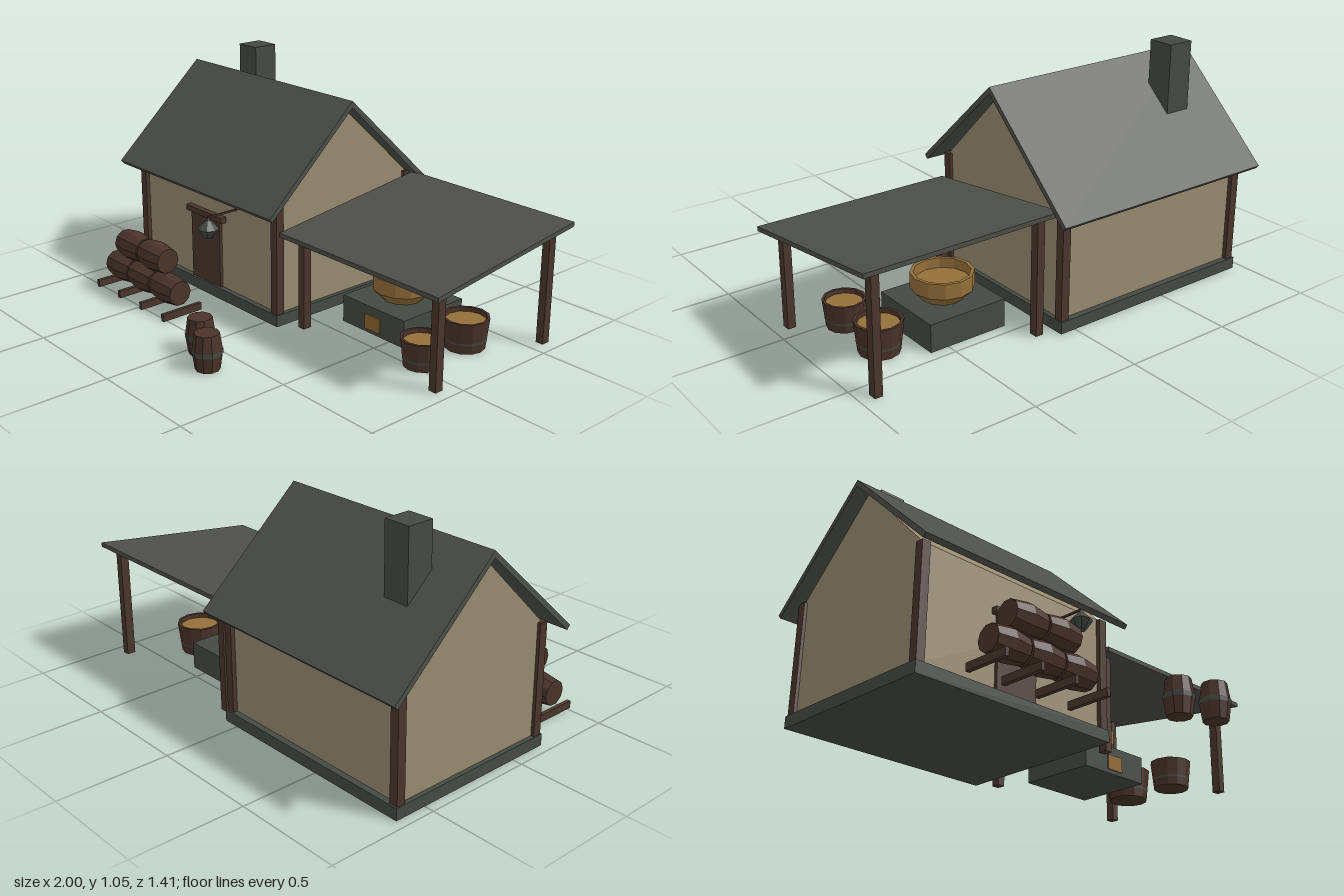
import * as THREE from 'three';

const mat = (name, color) => {
  const m = new THREE.MeshStandardMaterial({ color, flatShading: true });
  m.name = name;
  return m;
};

export function createModel() {
  const root = new THREE.Group();
  root.name = 'cottageWithLeanTo';

  const plaster = mat('plaster', 0x988b70);
  const slate = mat('slate', 0x4d4f48);
  const stone = mat('stone', 0x444a42);
  const timber = mat('timber', 0x4a362e);
  const barrelWood = mat('barrelWood', 0x4a332b);
  const brass = mat('brass', 0x94703a);
  const ember = mat('ember', 0x8f6632);

  const add = (name, geo, material, parent = root) => {
    const m = new THREE.Mesh(geo, material);
    m.name = name;
    parent.add(m);
    return m;
  };
  // Box given by its limits on each axis
  const box = (name, material, x0, x1, y0, y1, z0, z1, parent = root) => {
    const m = add(name, new THREE.BoxGeometry(x1 - x0, y1 - y0, z1 - z0), material, parent);
    m.position.set((x0 + x1) / 2, (y0 + y1) / 2, (z0 + z1) / 2);
    return m;
  };
  // Outline in (z, y) swept along x
  const sweepX = (name, material, x0, x1, pts) => {
    const shape = new THREE.Shape(pts.map(([z, y]) => new THREE.Vector2(z, y)));
    const geo = new THREE.ExtrudeGeometry(shape, { depth: x1 - x0, bevelEnabled: false });
    geo.rotateY(-Math.PI / 2);
    geo.translate(x1, 0, 0);
    return add(name, geo, material);
  };
  const lathe = (pts, sides) =>
    new THREE.LatheGeometry(pts.map(([r, y]) => new THREE.Vector2(r, y)), sides);

  // House: plinth, gabled walls, corner posts
  box('foundation', stone, -0.955, 0.075, 0, 0.053, -0.648, 0.175);
  sweepX('houseWalls', plaster, -0.935, 0.055,
    [[0.15, 0.053], [0.15, 0.555], [-0.218, 0.925], [-0.62, 0.555], [-0.62, 0.053]]);
  for (const x of [-0.93, 0.05])
    for (const z of [0.15, -0.62])
      box('cornerPost', timber, x - 0.02, x + 0.02, 0.053, 0.553, z - 0.02, z + 0.02);

  // Gable roof and chimney
  sweepX('frontRoof', slate, -1, 0.12,
    [[0.25, 0.529], [0.235, 0.511], [-0.218, 0.93], [-0.218, 0.96]]);
  sweepX('backRoof', slate, -1, 0.12,
    [[-0.71, 0.508], [-0.694, 0.491], [-0.218, 0.93], [-0.218, 0.96]]);
  box('chimney', stone, -0.797, -0.674, 0.6, 1.053, -0.452, -0.33);

  // Door
  box('door', timber, -0.55, -0.34, 0.053, 0.378, 0.14, 0.165);
  box('doorLintel', timber, -0.572, -0.308, 0.375, 0.402, 0.14, 0.178);

  // Lantern on its bracket
  box('lanternArm', timber, -0.234, -0.226, 0.455, 0.463, 0.15, 0.312);
  const lantern = add('lantern', lathe(
    [[0, 0.367], [0.02, 0.367], [0.048, 0.408], [0.012, 0.445], [0.004, 0.458], [0, 0.458]], 8), stone);
  lantern.position.set(-0.23, 0, 0.308);

  // Lean-to: sloping roof on four posts
  sweepX('leanToRoof', slate, 0.087, 1,
    [[0.168, 0.422], [0.168, 0.442], [-0.643, 0.549], [-0.643, 0.529]]);
  for (const x of [0.152, 0.927])
    for (const [z, top] of [[0.082, 0.436], [-0.582, 0.523]])
      box('leanToPost', timber, x - 0.018, x + 0.018, 0, top, z - 0.02, z + 0.02);

  // Forge with fire door and wide basin
  box('forge', stone, 0.215, 0.585, 0, 0.125, -0.45, -0.09);
  box('forgeDoor', ember, 0.355, 0.445, 0.017, 0.085, -0.092, -0.084);
  const basin = add('basin', lathe(
    [[0, 0.12], [0.085, 0.12], [0.135, 0.172], [0.135, 0.24], [0.12, 0.24], [0.12, 0.195], [0, 0.195]], 12), brass);
  basin.position.set(0.4, 0, -0.27);

  // Barrels: bulged body with optional iron hoop, centred on its middle
  const barrel = (r, h, hoop) => {
    const g = new THREE.Group();
    g.name = 'barrel';
    const e = r * 0.82;
    add('barrelBody', lathe([[0, -h / 2], [e, -h / 2], [r, 0], [e, h / 2], [0, h / 2]], 10), barrelWood, g);
    if (hoop) add('barrelHoop', new THREE.CylinderGeometry(r + 0.001, r + 0.001, 0.02, 10, 1, true), stone, g);
    root.add(g);
    return g;
  };
  for (const [x, z] of [[0.05, 0.57], [0.19, 0.64]])
    barrel(0.064, 0.16, true).position.set(x, 0.08, z);
  for (const [x, y] of [[-0.74, 0.103], [-0.565, 0.103], [-0.39, 0.103], [-0.652, 0.231], [-0.477, 0.231]]) {
    const b = barrel(0.07, 0.165, false);
    b.rotation.z = Math.PI / 2;
    b.position.set(x, y, 0.415);
  }
  // Rails beneath the stacked barrels
  for (const x of [-0.825, -0.65, -0.475, -0.303])
    box('barrelRail', timber, x - 0.009, x + 0.009, 0, 0.034, 0.31, 0.518);

  // Open tubs with their fill
  for (const [z, r, h] of [[-0.042, 0.093, 0.125], [-0.305, 0.103, 0.14]]) {
    const g = new THREE.Group();
    g.name = 'tub';
    add('tubBody', lathe([[0, 0], [r * 0.85, 0], [r, h], [r * 0.88, h], [r * 0.86, h - 0.03]], 12), barrelWood, g);
    add('tubHoop', new THREE.CylinderGeometry(r * 0.91, r * 0.9, 0.01, 12, 1, true), stone, g)
      .position.y = h * 0.32;
    const fill = add('tubFill', new THREE.CircleGeometry(r * 0.88, 12), brass, g);
    fill.rotation.x = -Math.PI / 2;
    fill.position.y = h - 0.02;
    g.position.set(0.735, 0, z);
    root.add(g);
  }

  return root;
}
